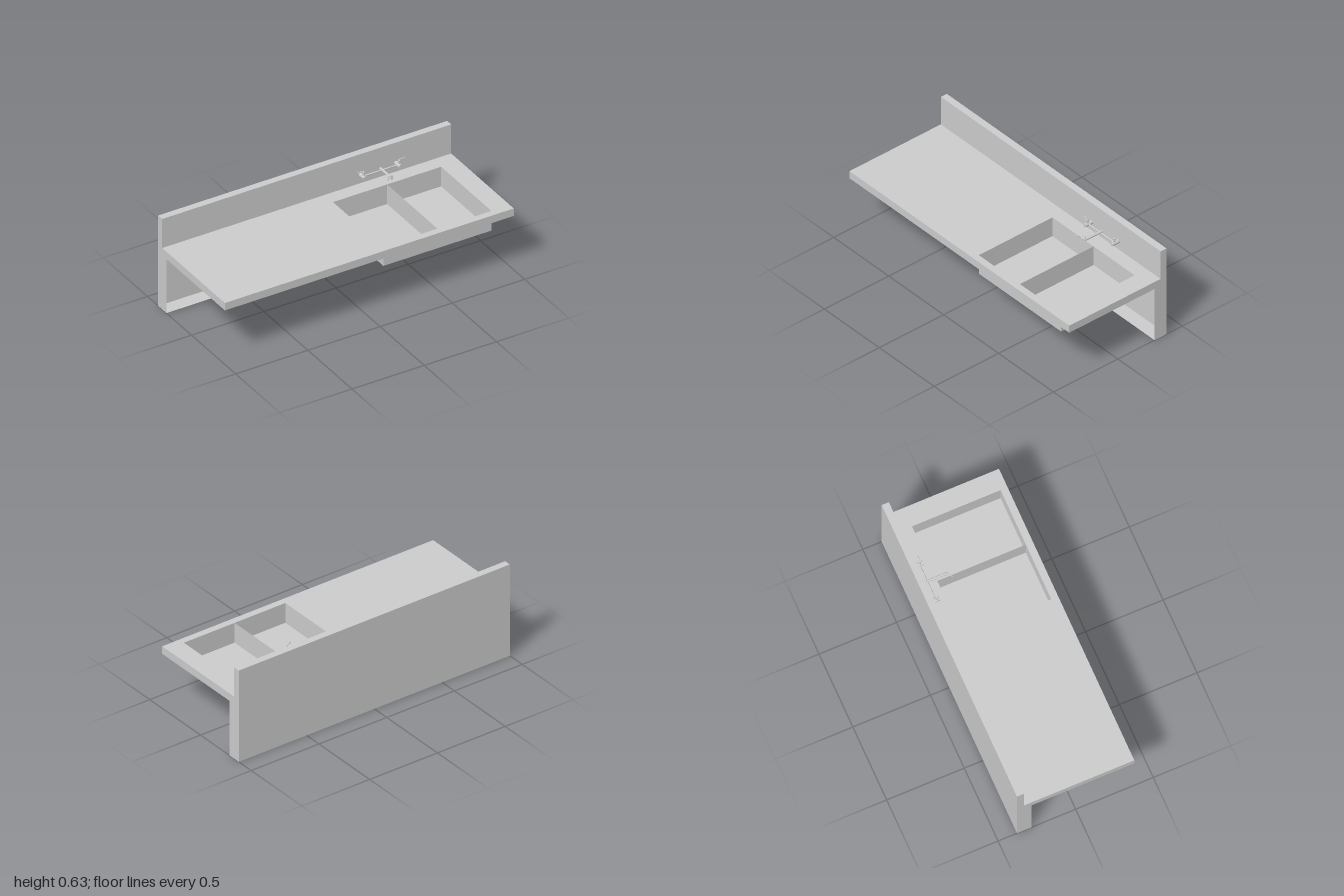
import * as THREE from 'three';

const material = new THREE.MeshStandardMaterial({ color: 0xcccccc, side: THREE.DoubleSide });

export function createModel() {
  const root = new THREE.Group();
  root.name = 'sinkCounter';

  function add(name, geometry, parent = root) {
    const mesh = new THREE.Mesh(geometry, material);
    mesh.name = name;
    parent.add(mesh);
    return mesh;
  }
  function group(name) {
    const g = new THREE.Group();
    g.name = name;
    root.add(g);
    return g;
  }
  // Flat sheet facing 'x', 'y' or 'z'; w and h are its extents
  function panel(name, axis, w, h, x, y, z, parent) {
    const geometry = new THREE.PlaneGeometry(w, h);
    if (axis === 'x') geometry.rotateY(Math.PI / 2);
    if (axis === 'y') geometry.rotateX(-Math.PI / 2);
    geometry.translate(x, y, z);
    return add(name, geometry, parent);
  }
  // Round bar between two points
  function rod(name, a, b, radius, parent, sides = 24) {
    const p = new THREE.Vector3(...a), q = new THREE.Vector3(...b);
    const dir = q.clone().sub(p);
    const mesh = add(name, new THREE.CylinderGeometry(radius, radius, dir.length(), sides), parent);
    mesh.position.copy(p).add(q).multiplyScalar(0.5);
    mesh.quaternion.setFromUnitVectors(new THREE.Vector3(0, 1, 0), dir.normalize());
    return mesh;
  }

  // Heights and depths shared by the sheet parts
  const top = 0.43, rim = 0.378, wallTop = 0.633, floor = 0.293;
  const front = 0.378, back = -0.378, splash = -0.332, base = -0.285;
  const sx0 = 0.125, sx1 = 0.873, sz0 = -0.238, sz1 = 0.333;
  const sx = (sx0 + sx1) / 2, sz = (sz0 + sz1) / 2;

  // Counter top with the sink opening
  const counter = group('counter');
  const rect = (path, x0, x1, y0, y1) =>
    path.moveTo(x0, y0).lineTo(x1, y0).lineTo(x1, y1).lineTo(x0, y1).closePath();
  const topShape = rect(new THREE.Shape(), -1, 1, -front, -splash);
  topShape.holes.push(rect(new THREE.Path(), sx0, sx1, -sz1, -sz0));
  add('counterTop', new THREE.ShapeGeometry(topShape).rotateX(-Math.PI / 2).translate(0, top, 0), counter);
  panel('frontRim', 'z', 2, top - rim, 0, (top + rim) / 2, front, counter);

  // Wall housing, open toward the space below the counter
  const wall = group('wall');
  panel('backPanel', 'z', 2, wallTop, 0, wallTop / 2, back, wall).geometry.rotateY(0);
  panel('splashback', 'z', 2, wallTop - top, 0, (wallTop + top) / 2, splash, wall);
  panel('wallCap', 'y', 2, splash - back, 0, wallTop, (splash + back) / 2, wall);
  panel('wallBottom', 'y', 2, base - back, 0, 0, (base + back) / 2, wall);

  // End plates in the shared counter and wall profile
  const profile = new THREE.Shape([
    [front, rim], [front, top], [splash, top], [splash, wallTop],
    [back, wallTop], [back, 0], [base, 0], [base, rim],
  ].map(([z, y]) => new THREE.Vector2(-z, y)));
  for (const s of [-1, 1]) {
    add(s > 0 ? 'leftEndPlate' : 'rightEndPlate',
      new THREE.ShapeGeometry(profile).rotateY(Math.PI / 2).translate(s, 0, 0));
  }

  // Double basin of thin sheet with a central divider
  const sink = group('sink');
  const depth = top - floor, midY = (top + floor) / 2;
  panel('basinFloor', 'y', sx1 - sx0, sz1 - sz0, sx, floor, sz, sink);
  for (const z of [sz0, sz1]) panel('basinWall', 'z', sx1 - sx0, depth, sx, midY, z, sink);
  for (const x of [sx0, sx, sx1]) {
    panel(x === sx ? 'divider' : 'basinSide', 'x', sz1 - sz0, depth, x, midY, sz, sink);
  }

  // Drain pipes
  const drain = group('drain');
  const pz = 0.045, py = 0.148;
  for (const s of [-1, 1]) {
    const x = sx + s * 0.187;
    rod('downPipe', [x, py, pz], [x, floor, pz], 0.02, drain);
  }
  rod('collectorPipe', [sx - 0.214, py, pz], [sx + 0.214, py, pz], 0.026, drain);
  rod('wastePipe', [sx, py, pz], [sx, py, back + 0.005], 0.02, drain);

  // Wall-mounted tap
  const tap = group('tap');
  const tx = 0.495, tz = -0.298;
  for (const s of [-1, 1]) {
    const x = tx + s * 0.123;
    rod('tapMount', [x, 0.492, splash], [x, 0.492, -0.278], 0.013, tap);
    rod('valveStem', [x, 0.492, tz], [x, 0.528, tz], 0.007, tap);
    rod('leverArm', [x, 0.533, tz], [x + s * 0.042, 0.533, tz], 0.003, tap, 12);
    rod('leverTip', [x + s * 0.04, 0.531, tz], [x + s * 0.04, 0.545, tz], 0.002, tap, 12);
  }
  rod('crossbar', [tx - 0.123, 0.493, tz - 0.006], [tx + 0.123, 0.493, tz - 0.006], 0.005, tap, 16);
  rod('spout', [tx, 0.507, tz - 0.01], [tx, 0.507, -0.175], 0.008, tap);
  rod('spoutRiser', [tx, 0.507, -0.18], [tx, 0.527, -0.18], 0.004, tap, 16);
  rod('spoutArm', [tx, 0.525, -0.182], [0.455, 0.525, -0.157], 0.003, tap, 16);
  rod('spoutNozzle', [0.457, 0.525, -0.158], [0.457, 0.514, -0.158], 0.003, tap, 16);

  return root;
}
